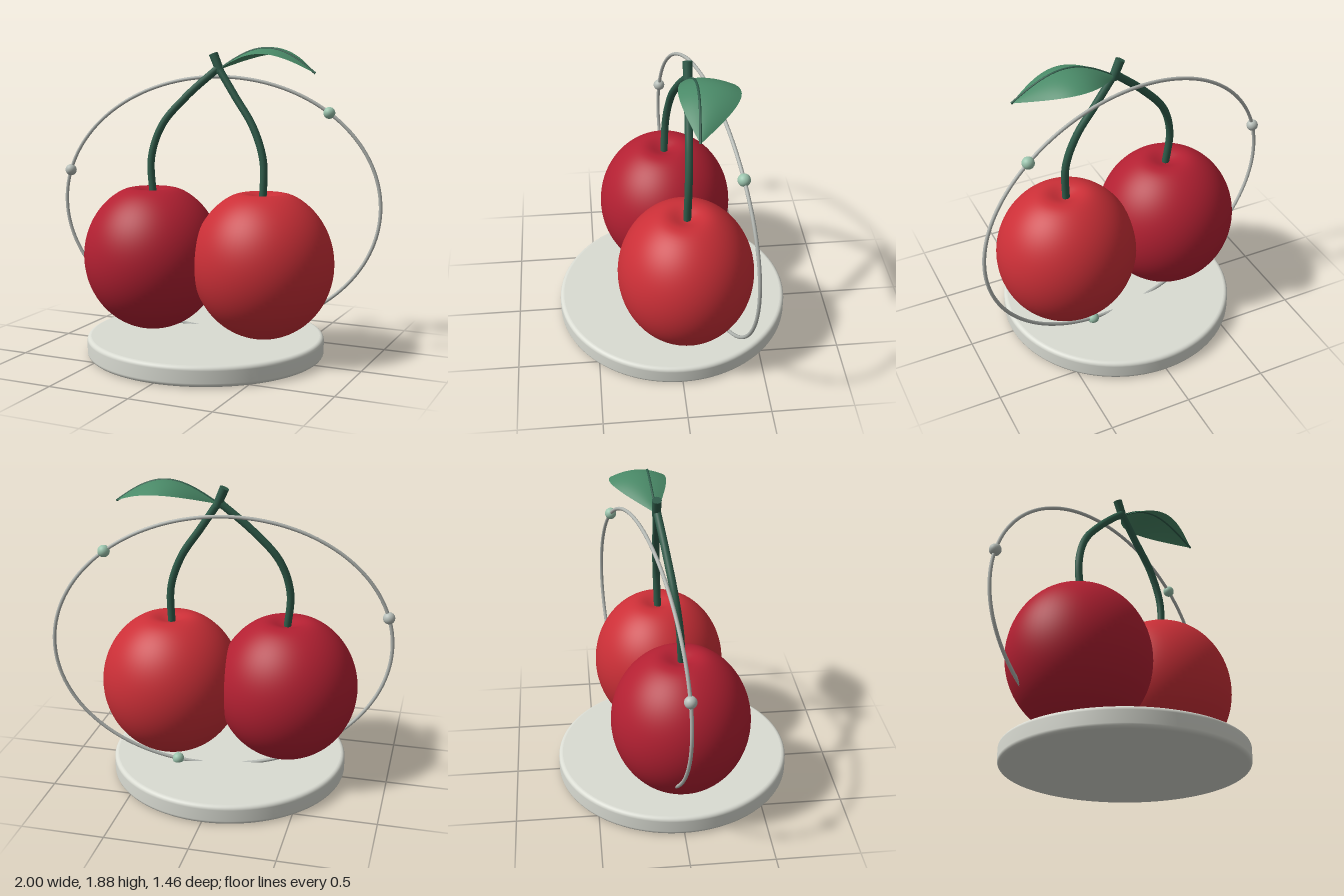
import * as THREE from 'three';

const V = (x, y, z) => new THREE.Vector3(x, y, z);
const mat = (color, side = THREE.FrontSide) => new THREE.MeshStandardMaterial({ color, side });

export function createModel() {
  const model = new THREE.Group();
  const add = (name, geometry, material, x = 0, y = 0, z = 0) => {
    const mesh = new THREE.Mesh(geometry, material);
    mesh.name = name;
    mesh.position.set(x, y, z);
    model.add(mesh);
    return mesh;
  };
  const stemMat = mat(0x2f5c4a);

  // Round plinth with softened rims
  const R = 0.73, H = 0.122, b = 0.025;
  const rim = [V(0, 0, 0)];
  for (const [cy, start] of [[b, -90], [H - b, 0]])
    for (let i = 0; i <= 6; i++) {
      const a = THREE.MathUtils.degToRad(start + i * 15);
      rim.push(V(R - b + b * Math.cos(a), cy + b * Math.sin(a), 0));
    }
  rim.push(V(0, H, 0));
  // Repeated corner points keep the flat faces crisp
  const basePts = [rim[0], rim[1], ...rim.slice(1, -1), rim[rim.length - 2], rim[rim.length - 1]]
    .map(p => new THREE.Vector2(p.x, p.y));
  add('base', new THREE.LatheGeometry(basePts, 96), mat(0xdadcd3));

  // Cherries: spheroids with a shallow dimple at the stem
  const cherryPts = [];
  for (let i = 0; i <= 56; i++) {
    const a = -Math.PI / 2 + Math.PI * i / 56;
    const r = i === 0 || i === 56 ? 0 : 0.433 * Math.cos(a);
    const dimple = a > 0 ? 0.065 * Math.exp(-((r / 0.1) ** 2)) : 0;
    cherryPts.push(new THREE.Vector2(r, 0.46 * Math.sin(a) - dimple));
  }
  const cherryGeo = new THREE.LatheGeometry(cherryPts, 72);
  add('rightCherry', cherryGeo, mat(0xb32032), -0.358, 0.582, 0.015).scale.z = 0.965;
  add('leftCherry', cherryGeo, mat(0xcb2f37), 0.357, 0.578, -0.05).scale.z = 0.95;

  // Stems meeting at the top
  const tube = (name, pts, radius, material) =>
    add(name, new THREE.TubeGeometry(new THREE.CatmullRomCurve3(pts), 48, radius, 14), material);
  tube('rightStem', [V(-0.35, 0.95, 0.02), V(-0.368, 1.2, 0.005), V(-0.305, 1.4, -0.02),
    V(-0.15, 1.58, -0.05), V(0.045, 1.75, -0.082)], 0.023, stemMat);
  tube('leftStem', [V(0.352, 0.95, -0.055), V(0.35, 1.2, -0.062), V(0.28, 1.4, -0.07),
    V(0.16, 1.58, -0.077), V(0.04, 1.76, -0.083)], 0.023, stemMat);
  const nub = add('stemNub', new THREE.CylinderGeometry(0.028, 0.026, 0.12, 16), stemMat, 0.035, 1.78, -0.085);
  nub.rotation.z = 0.4;

  // Arched leaf, with u across the blade and t along it
  const leafPoint = (t, u) => {
    const s = Math.sin(Math.PI * t);
    return V(0.045 + 0.62 * t, 1.738 - 0.016 * t + (0.145 - 0.04 * u * u) * s,
      -0.085 - 0.085 * s + 0.17 * u * s);
  };
  const leafGeo = new THREE.PlaneGeometry(1, 1, 32, 12);
  const pos = leafGeo.attributes.position;
  for (let i = 0; i < pos.count; i++) {
    const p = leafPoint(pos.getX(i) + 0.5, -2 * pos.getY(i));
    pos.setXYZ(i, p.x, p.y, p.z);
  }
  leafGeo.computeVertexNormals();
  add('leaf', leafGeo, mat(0x4a8a68, THREE.DoubleSide));
  const rib = [];
  for (let i = 0; i <= 12; i++) rib.push(leafPoint(i / 12, 0.38));
  tube('leafMidrib', rib, 0.007, stemMat);

  // Upright oval hoop, turned about the vertical axis, with three beads
  const hoopPoint = a => V(0.988 * Math.cos(a), 0.9 + 0.795 * Math.sin(a), -0.19 - 0.193 * Math.cos(a));
  const hoopPts = [];
  for (let i = 0; i < 48; i++) hoopPts.push(hoopPoint(i / 48 * Math.PI * 2));
  add('hoop', new THREE.TubeGeometry(new THREE.CatmullRomCurve3(hoopPts, true), 160, 0.011, 10, true), mat(0xb4b8b3));
  const beadGeo = new THREE.SphereGeometry(0.036, 24, 16);
  [[47, 0x9cc5ae], [166, 0xb8bfb9], [286, 0x9cc5ae]].forEach(([deg, color], i) => {
    const p = hoopPoint(THREE.MathUtils.degToRad(deg));
    add('bead' + (i + 1), beadGeo, mat(color), p.x, p.y, p.z);
  });

  return model;
}
